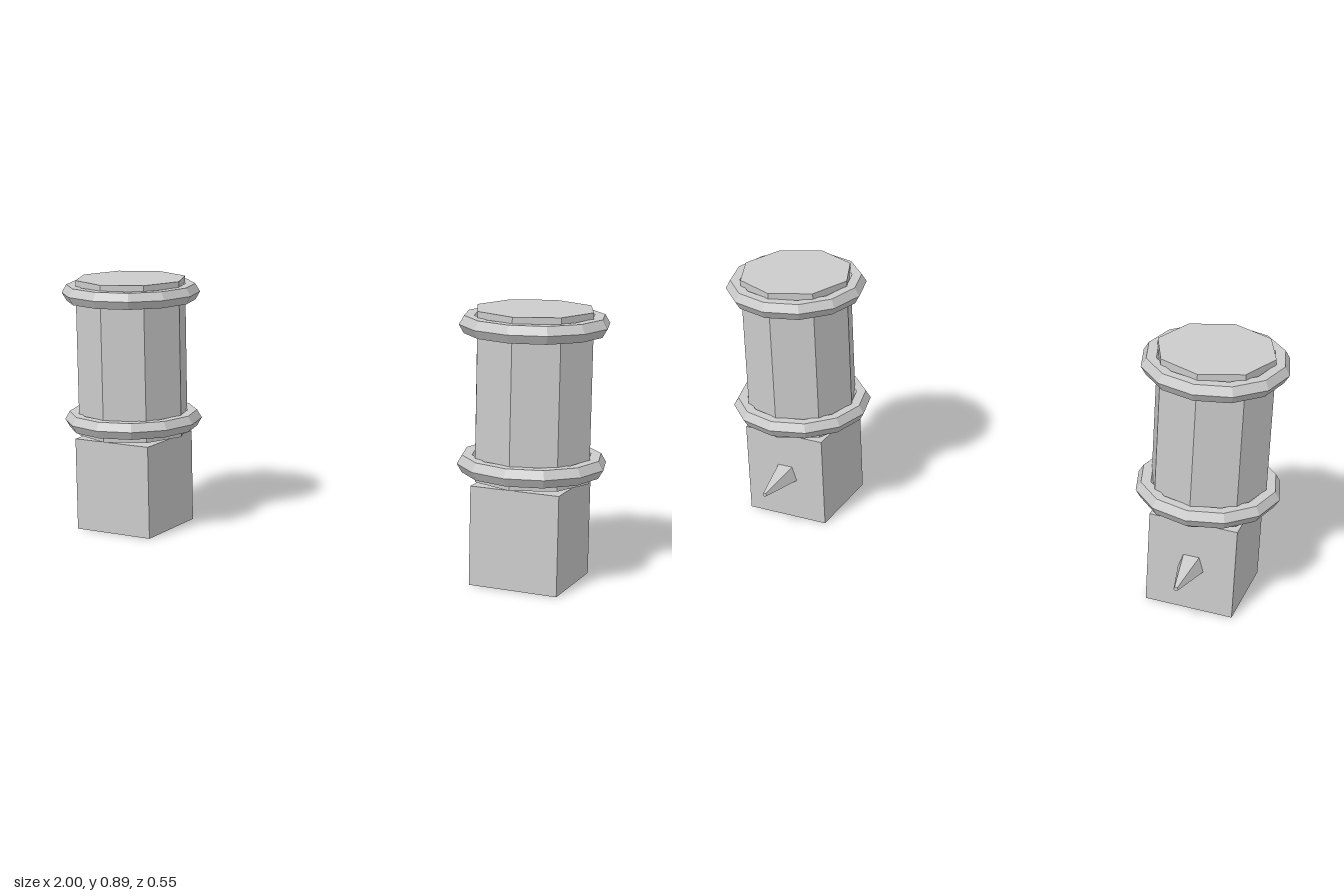
import * as THREE from 'three';

export function createModel() {
  const model = new THREE.Group();
  const material = new THREE.MeshStandardMaterial({ color: 0xcccccc, flatShading: true });

  const part = (parent, name, geometry, y, z = 0) => {
    const mesh = new THREE.Mesh(geometry, material);
    mesh.name = name;
    mesh.position.set(0, y, z);
    parent.add(mesh);
  };

  // Octagonal cuff and the twelve-sided bands around it
  const cuff = new THREE.CylinderGeometry(0.197, 0.197, 0.553, 8);
  const band = new THREE.TorusGeometry(0.21, 0.033, 6, 12).rotateX(Math.PI / 2);

  // Square fist with a blunt five-sided spike pointing backwards
  const fist = new THREE.BoxGeometry(0.3, 0.33, 0.3);
  const spike = new THREE.CylinderGeometry(0.0083, 0.046, 0.153, 5, 1, false, Math.PI)
    .rotateX(-Math.PI / 2);

  for (const [side, x] of [['left', 0.757], ['right', -0.757]]) {
    const hand = new THREE.Group();
    hand.name = side + 'Hand';
    hand.position.set(x, 0, 0.03);
    part(hand, 'fist', fist, 0.165);
    part(hand, 'spike', spike, 0.166, -0.2265);
    part(hand, 'cuff', cuff, 0.6185);
    part(hand, 'lowerBand', band, 0.391);
    part(hand, 'upperBand', band, 0.846);
    model.add(hand);
  }
  return model;
}
